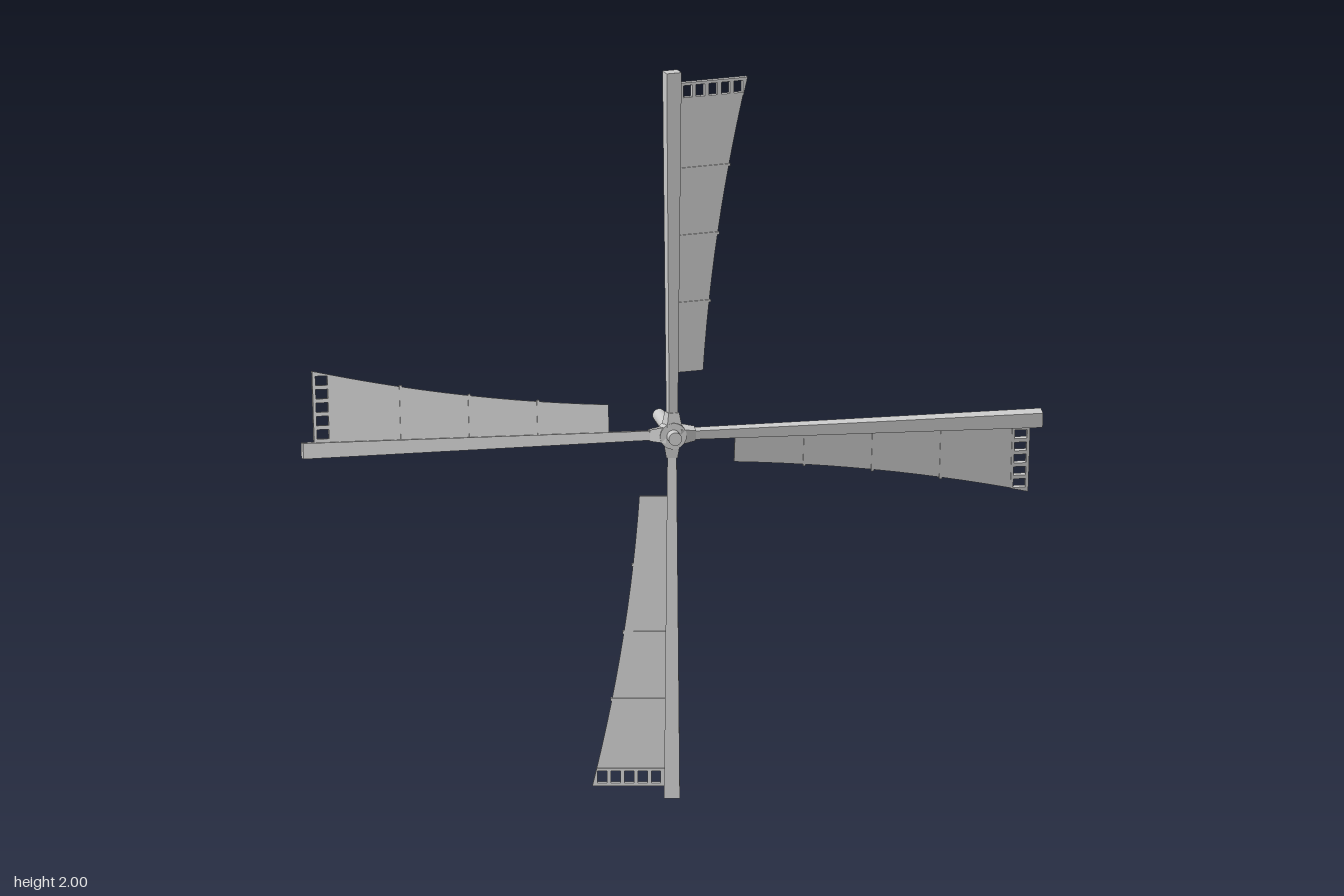
import * as THREE from 'three';

const material = new THREE.MeshStandardMaterial({ color: 0xcccccc, flatShading: true });
const smooth = new THREE.MeshStandardMaterial({ color: 0xcccccc });
const PITCH = THREE.MathUtils.degToRad(10);
const HUB_Z = 0.074;

// Outer edge of the sail: from the inner end to the tip
const INNER = 0.17, SHEET_END = 0.925, TIP = 0.968;
const edge = (r) => {
  const t = (r - INNER) / (TIP - INNER);
  return 0.087 * (1 - t) ** 2 + 2 * 0.114 * t * (1 - t) + 0.212 * t * t;
};

function add(parent, name, geometry, mat = material) {
  const mesh = new THREE.Mesh(geometry, mat);
  mesh.name = name;
  parent.add(mesh);
  return mesh;
}

// Upright bar whose width and depth change from bottom to top
function taperedBar(y0, y1, w0, d0, w1, d1) {
  const g = new THREE.BoxGeometry(1, y1 - y0, 1);
  g.translate(0, (y0 + y1) / 2, 0);
  const p = g.attributes.position;
  for (let i = 0; i < p.count; i++) {
    const top = p.getY(i) > (y0 + y1) / 2;
    p.setX(i, p.getX(i) * (top ? w1 : w0));
    p.setZ(i, p.getZ(i) * (top ? d1 : d0));
  }
  g.computeVertexNormals();
  return g;
}

function extrude(shape, depth) {
  const g = new THREE.ExtrudeGeometry(shape, { depth, bevelEnabled: false });
  return g.translate(0, 0, -depth / 2);
}

function sailSheet() {
  const shape = new THREE.Shape();
  shape.moveTo(0, INNER);
  for (let i = 0; i <= 12; i++) {
    const r = INNER + ((SHEET_END - INNER) * i) / 12;
    shape.lineTo(edge(r), r);
  }
  shape.lineTo(0, SHEET_END);
  return extrude(shape, 0.007);
}

// Slotted strip at the outer end of the sail
function endGrille() {
  const shape = new THREE.Shape();
  const y0 = SHEET_END - 0.005;
  shape.moveTo(0, y0);
  shape.lineTo(edge(y0), y0);
  shape.lineTo(edge(TIP), TIP);
  shape.lineTo(0, TIP);
  for (let i = 0; i < 5; i++) {
    const x = 0.03 + i * 0.0358, a = y0 + 0.007, b = TIP - 0.008;
    const hole = new THREE.Path();
    hole.moveTo(x, a);
    hole.lineTo(x, b);
    hole.lineTo(x + 0.025, b);
    hole.lineTo(x + 0.025, a);
    shape.holes.push(hole);
  }
  return extrude(shape, 0.014);
}

function makeBlade() {
  const blade = new THREE.Group();
  blade.name = 'blade';
  add(blade, 'arm', taperedBar(0.02, 1, 0.024, 0.024, 0.042, 0.034));
  add(blade, 'armSocket', taperedBar(0.02, 0.062, 0.044, 0.044, 0.03, 0.03));
  add(blade, 'sailSheet', sailSheet());
  add(blade, 'endGrille', endGrille());
  // Cross ribs poke slightly past the edge of the sheet
  for (const r of [0.36, 0.545, 0.73]) {
    const length = edge(r) + 0.004;
    add(blade, 'sailRib', new THREE.BoxGeometry(length, 0.007, 0.013)).position.set(length / 2, r, 0);
  }
  blade.rotation.y = PITCH;
  return blade;
}

export function createModel() {
  const model = new THREE.Group();
  model.name = 'windmillSails';

  const rotor = new THREE.Group();
  rotor.name = 'rotor';
  rotor.position.set(0, 1, 0);
  model.add(rotor);

  // Axle running through the hub
  const axle = add(rotor, 'axle', new THREE.CylinderGeometry(0.018, 0.018, 0.254, 20), smooth);
  axle.rotation.x = Math.PI / 2;

  // Hub drum
  const hub = add(rotor, 'hub', new THREE.CylinderGeometry(0.036, 0.036, 0.046, 20), smooth);
  hub.rotation.x = Math.PI / 2;
  hub.position.z = HUB_Z;

  // Four pitched blades
  for (let i = 0; i < 4; i++) {
    const spoke = new THREE.Group();
    spoke.name = 'spoke';
    spoke.position.z = HUB_Z;
    spoke.rotation.z = (i * Math.PI) / 2;
    spoke.add(makeBlade());
    rotor.add(spoke);
  }
  return model;
}
